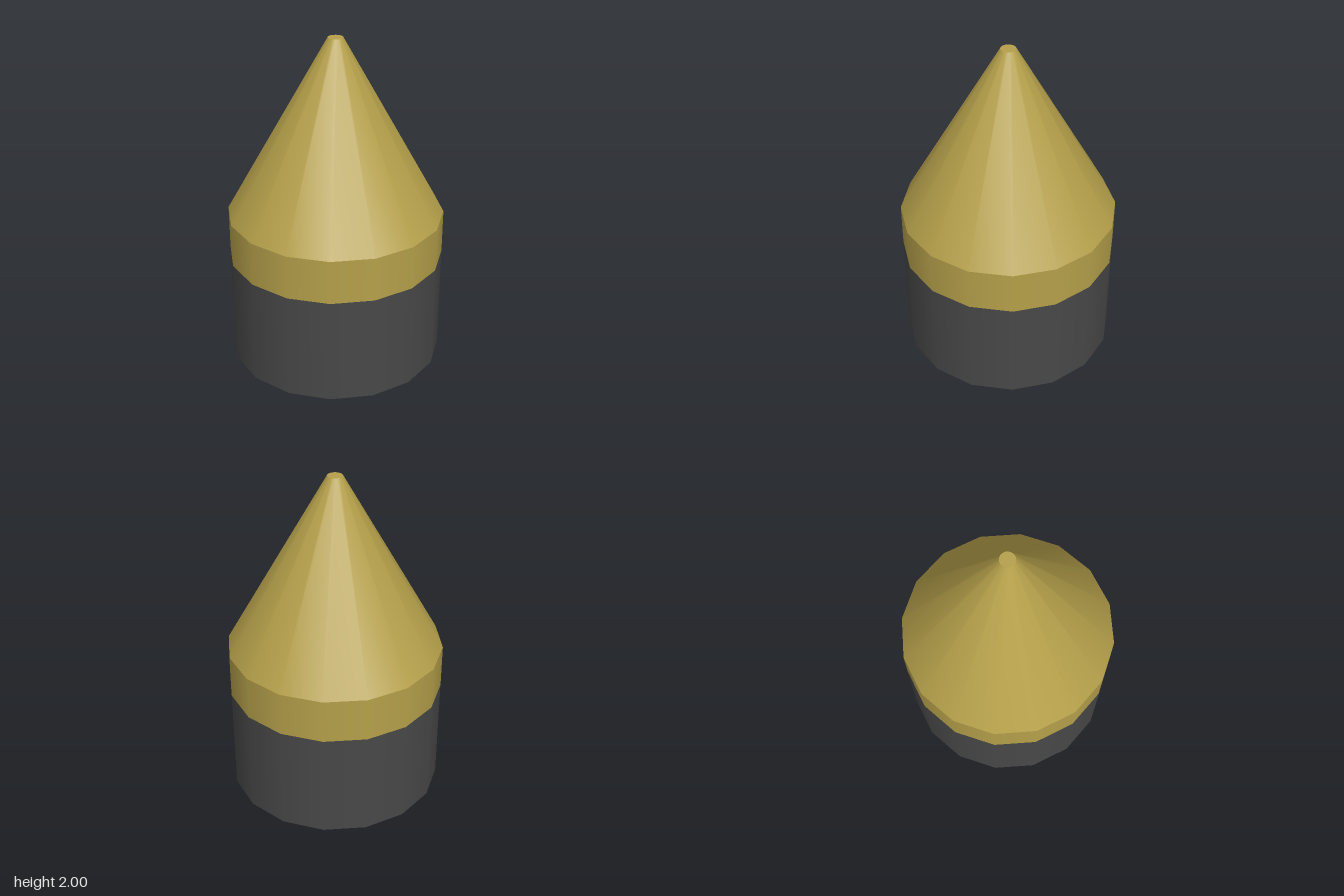
import * as THREE from 'three';

const SIDES = 16;
const RADIUS = 0.65;

export function createModel() {
  const model = new THREE.Group();
  const dark = new THREE.MeshStandardMaterial({ color: 0x484848 });
  const brass = new THREE.MeshStandardMaterial({ color: 0xb5a04a });

  // Closed round section between two heights
  const section = (name, rBottom, rTop, y0, y1, material) => {
    const geometry = new THREE.CylinderGeometry(rTop, rBottom, y1 - y0, SIDES);
    geometry.translate(0, (y0 + y1) / 2, 0);
    const mesh = new THREE.Mesh(geometry, material);
    mesh.name = name;
    model.add(mesh);
  };

  section('base', RADIUS, RADIUS, 0, 0.655, dark);
  section('collar', RADIUS, RADIUS, 0.655, 0.925, brass);
  // Tapered nose with a small flat tip
  section('nose', RADIUS, 0.045, 0.925, 2, brass);

  return model;
}
